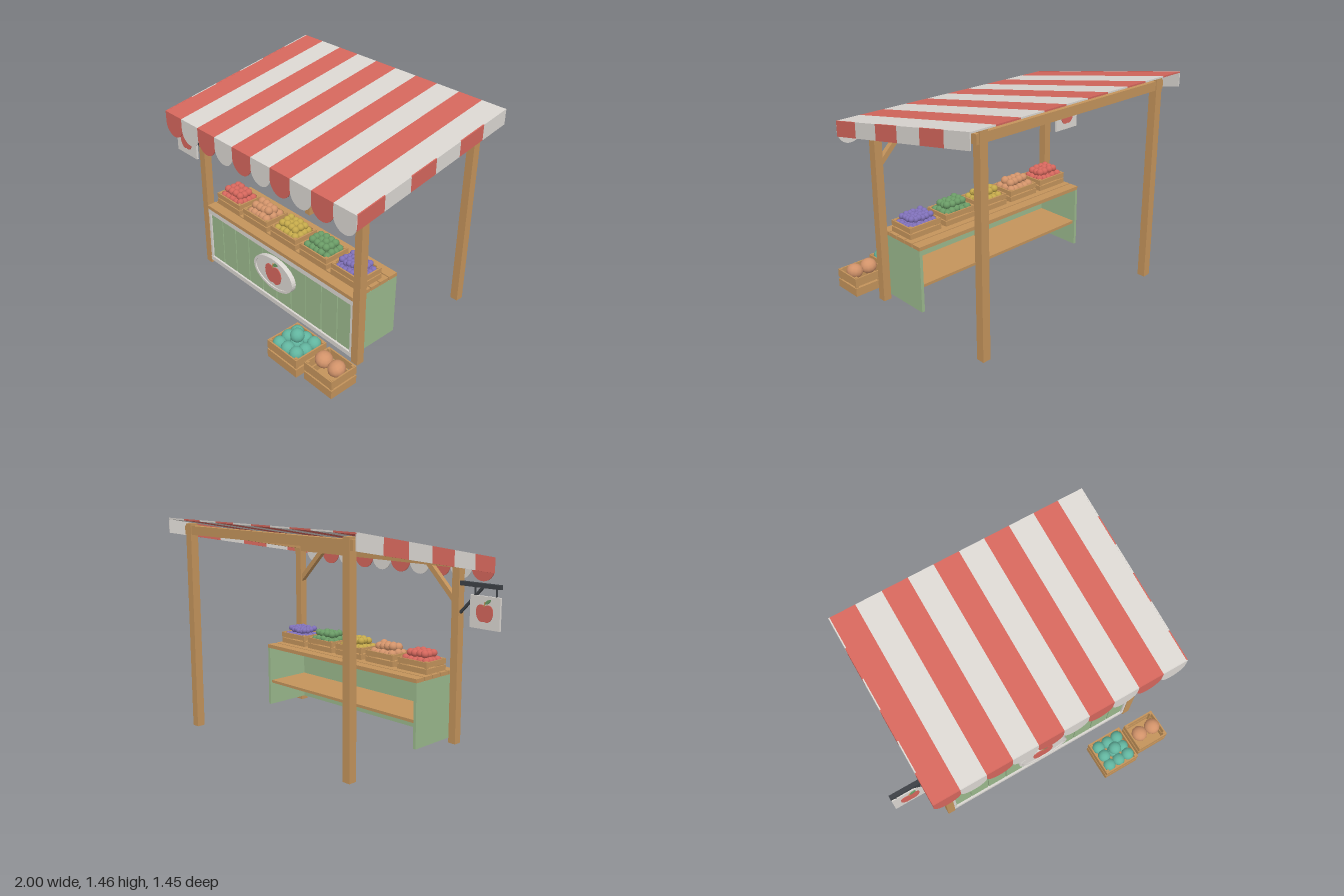
import * as THREE from 'three';

const mat = (name, color) => {
  const m = new THREE.MeshStandardMaterial({ color });
  m.name = name;
  return m;
};

export function createModel() {
  const red = mat('red', 0xd4665c), white = mat('offWhite', 0xdad6d1), wood = mat('wood', 0xc3935b);
  const green = mat('paintedGreen', 0x9ab88c), dark = mat('darkMetal', 0x3d4146), peach = mat('peach', 0xd2936a);
  const yellow = mat('yellow', 0xc4a94a), leafGreen = mat('leafGreen', 0x6a9b66);
  const purple = mat('purple', 0x7f70b8), teal = mat('teal', 0x62b59f);
  const root = new THREE.Group();
  root.name = 'marketStall';

  let seed = 7;
  const rnd = () => (seed = (seed * 16807) % 2147483647) / 2147483647 - 0.5;

  const add = (name, geo, m, parent = root) => {
    const mesh = new THREE.Mesh(geo, m);
    mesh.name = name;
    parent.add(mesh);
    return mesh;
  };
  // box given by its limits
  const block = (name, x0, x1, y0, y1, z0, z1, m, parent) => {
    const b = add(name, new THREE.BoxGeometry(x1 - x0, y1 - y0, z1 - z0), m, parent);
    b.position.set((x0 + x1) / 2, (y0 + y1) / 2, (z0 + z1) / 2);
    return b;
  };
  const group = (name, x = 0, y = 0, z = 0, parent = root) => {
    const g = new THREE.Group();
    g.name = name;
    g.position.set(x, y, z);
    parent.add(g);
    return g;
  };
  const extrude = (shape, depth) =>
    new THREE.ExtrudeGeometry(shape, { depth, bevelEnabled: false, curveSegments: 20 });

  // roof slope, and slabs that follow it between two depths
  const roofY = z => 1.23 + (0.535 - z) * 0.1818;
  const slopeSlab = (name, x0, x1, z0, z1, top, bottom, m) => {
    const s = new THREE.Shape([
      new THREE.Vector2(z0, roofY(z0) - bottom), new THREE.Vector2(z1, roofY(z1) - bottom),
      new THREE.Vector2(z1, roofY(z1) - top), new THREE.Vector2(z0, roofY(z0) - top)]);
    add(name, extrude(s, x1 - x0).rotateY(-Math.PI / 2), m).position.x = x1;
  };

  // canopy stripes with rounded front scallops
  const zBack = -0.73, zFront = 0.535, stripe = 0.18;
  for (let i = 0; i < 10; i++) {
    const x = -0.8 + i * stripe, m = i % 2 ? white : red;
    slopeSlab('canopyStripe', x, x + stripe, zBack, zFront, 0, 0.01, m);
    const s = new THREE.Shape();
    s.moveTo(0, 0);
    s.lineTo(0, -0.075);
    s.absellipse(stripe / 2, -0.075, stripe / 2, 0.087, Math.PI, Math.PI * 2, false);
    s.lineTo(stripe, 0);
    add('canopyScallop', extrude(s, 0.007), m).position.set(x, 1.23, zFront - 0.002);
  }
  // side valances
  for (let i = 0; i < 6; i++) {
    const step = (zFront - zBack) / 6, z1 = zFront - i * step;
    for (const x of [-0.802, 0.994])
      slopeSlab('sideValance', x, x + 0.008, z1 - step, z1, -0.001, 0.102, i % 2 ? white : red);
  }

  // posts, roof beams and braces
  const postX = [-0.662, 0.855], postZ = [0.338, -0.645];
  for (const x of postX) {
    for (const z of postZ)
      block('post', x - 0.028, x + 0.028, 0, roofY(z) - 0.02, z - 0.028, z + 0.028, wood);
    slopeSlab('sideBeam', x - 0.022, x + 0.022, -0.66, 0.35, 0.025, 0.08, wood);
    const side = x < 0 ? 1 : -1;
    const brace = add('brace', new THREE.BoxGeometry(0.035, 0.33, 0.035), wood);
    brace.position.set(x + side * 0.125, 1.065, 0.338);
    brace.rotation.z = -side * Math.PI / 4;
  }
  for (const z of postZ)
    block('crossBeam', -0.71, 0.903, roofY(z) - 0.095, roofY(z) - 0.035, z - 0.022, z + 0.022, wood);

  // counter
  const x0 = -0.635, x1 = 0.826;
  block('frontPanel', x0, x1, 0.035, 0.47, 0.315, 0.335, green);
  const plank = (x1 - x0) / 10;
  for (let i = 0; i < 10; i++)
    block('frontPlank', x0 + i * plank + 0.004, x0 + (i + 1) * plank - 0.004, 0.04, 0.465, 0.335, 0.35, green);
  block('endPanel', x0, x0 + 0.022, 0.035, 0.47, -0.025, 0.315, green);
  block('endPanel', x1 - 0.022, x1, 0.035, 0.47, -0.025, 0.315, green);
  block('topTrim', x0, x1, 0.432, 0.47, 0.345, 0.364, white);
  block('bottomTrim', x0, x1, 0.028, 0.062, 0.345, 0.364, white);
  block('sideTrim', x0, x0 + 0.02, 0.062, 0.432, 0.345, 0.362, white);
  block('sideTrim', x1 - 0.02, x1, 0.062, 0.432, 0.345, 0.362, white);
  block('shelf', x0 + 0.022, x1 - 0.022, 0.2, 0.22, -0.01, 0.315, wood);
  for (let i = 0; i < 5; i++)
    block('counterPlank', x0, x1, 0.47, 0.496, -0.025 + i * 0.08, 0.047 + i * 0.08, wood);

  // painted apple, one unit is its half width
  const apple = (parent, z, scale, turn = 0) => {
    const g = group('appleEmblem', 0, 0, z, parent);
    g.scale.set(scale, scale, 1);
    g.rotation.y = turn;
    const s = new THREE.Shape();
    s.moveTo(0, 0.62);
    s.bezierCurveTo(0.35, 0.95, 1, 0.8, 1, 0.1);
    s.bezierCurveTo(1, -0.6, 0.5, -1.15, 0, -0.85);
    s.bezierCurveTo(-0.5, -1.15, -1, -0.6, -1, 0.1);
    s.bezierCurveTo(-1, 0.8, -0.35, 0.95, 0, 0.62);
    add('appleBody', extrude(s, 0.005), red, g);
    const stem = block('appleStem', -0.06, 0.06, 0.6, 1.1, 0, 0.006, wood, g);
    stem.rotation.z = -0.2;
    const l = new THREE.Shape();
    l.moveTo(0.05, 0.85);
    l.quadraticCurveTo(0.15, 1.35, 0.7, 1.35);
    l.quadraticCurveTo(0.6, 0.85, 0.05, 0.85);
    add('appleLeaf', extrude(l, 0.007), leafGreen, g);
  };

  // oval plaque with raised rim
  const plaque = group('ovalPlaque', 0.095, 0.29, 0.35);
  const oval = (rx, ry) => new THREE.Shape().absellipse(0, 0, rx, ry, 0, Math.PI * 2);
  add('plaqueFace', extrude(oval(0.19, 0.115), 0.026), white, plaque);
  const rim = oval(0.196, 0.121);
  rim.holes.push(oval(0.178, 0.103));
  add('plaqueRim', extrude(rim, 0.034), white, plaque);
  apple(plaque, 0.026, 0.08);

  // hanging sign on a metal bracket
  block('signArm', -1, -0.69, 1.062, 1.09, 0.317, 0.345, dark);
  const strut = add('signStrut', new THREE.BoxGeometry(0.016, 0.25, 0.016), dark);
  strut.position.set(-0.775, 0.973, 0.331);
  strut.rotation.z = 0.76;
  for (const x of [-0.966, -0.803]) block('signHanger', x - 0.004, x + 0.004, 1, 1.065, 0.327, 0.335, dark);
  const sign = group('hangingSign', -0.885, 0.906, 0.331);
  block('signBoard', -0.114, 0.114, -0.105, 0.105, -0.008, 0.008, white, sign);
  apple(sign, 0.008, 0.064);
  apple(sign, -0.008, 0.064, Math.PI);

  // slatted crate
  const crate = (name, x, y, z, w, h, d) => {
    const g = group(name, x, y, z), t = 0.01;
    block('crateFloor', -w / 2 + t, w / 2 - t, 0.004, 0.014, -d / 2 + t, d / 2 - t, wood, g);
    for (const sx of [-1, 1]) for (const sz of [-1, 1]) {
      const p = block('cratePost', -0.009, 0.009, 0, h, -0.009, 0.009, wood, g);
      p.position.x = sx * (w / 2 - 0.016);
      p.position.z = sz * (d / 2 - 0.016);
    }
    for (const [a, b] of [[0.03, 0.45], [0.55, 0.97]]) for (const s of [-1, 1]) {
      const e = s * (d / 2 - t / 2), f = s * (w / 2 - t / 2);
      block('crateSlat', -w / 2, w / 2, a * h, b * h, e - t / 2, e + t / 2, wood, g);
      block('crateSlat', f - t / 2, f + t / 2, a * h, b * h, -d / 2 + t, d / 2 - t, wood, g);
    }
    return g;
  };
  const ball = new THREE.SphereGeometry(1, 12, 8);
  const fruit = (name, parent, x, y, z, r, m, squash = 0.95) => {
    const f = add(name, ball, m, parent);
    f.position.set(x, y, z);
    f.scale.set(r, r * squash, r);
    f.rotation.set(rnd(), rnd(), rnd());
  };

  // five crates of heaped produce on the counter: colour, radius, columns, rows, heap top
  const goods = [['redFruit', red, 0.027, 5, 4, 0.113], ['peachFruit', peach, 0.03, 5, 3, 0.115],
    ['yellowFruit', yellow, 0.026, 5, 4, 0.112], ['greenFruit', leafGreen, 0.026, 5, 4, 0.118],
    ['purpleFruit', purple, 0.021, 7, 5, 0.108]];
  goods.forEach(([name, m, r, nx, nz, top], i) => {
    const g = crate(name + 'Crate', -0.49 + i * 0.292, 0.496, 0.192, 0.25, 0.084, 0.195);
    for (let layer = 0; layer < 2; layer++) {
      const cx = nx - layer, cz = nz - layer;
      const sx = (0.222 - 2 * r) / (nx - 1), sz = (0.168 - 2 * r) / (nz - 1);
      for (let a = 0; a < cx; a++) for (let b = 0; b < cz; b++)
        fruit(name, g, (a - (cx - 1) / 2) * sx + rnd() * 0.008, top - (1 - layer) * 0.042 + rnd() * 0.014,
          (b - (cz - 1) / 2) * sz + rnd() * 0.008, r, m);
    }
  });

  // two larger crates on the ground
  const melons = crate('melonCrate', 0.575, 0, 0.595, 0.27, 0.14, 0.255);
  for (let a = -1; a <= 1; a++) for (let b = -1; b <= 1; b++)
    fruit('melon', melons, a * 0.078, 0.125 + rnd() * 0.02, b * 0.074, 0.046, teal);
  fruit('melon', melons, 0.005, 0.188, 0, 0.047, teal);
  const pumpkins = crate('pumpkinCrate', 0.867, 0, 0.585, 0.24, 0.14, 0.21);
  for (const s of [-1, 1]) fruit('pumpkin', pumpkins, s * 0.055, 0.138, 0, 0.058, peach, 0.88);

  return root;
}
